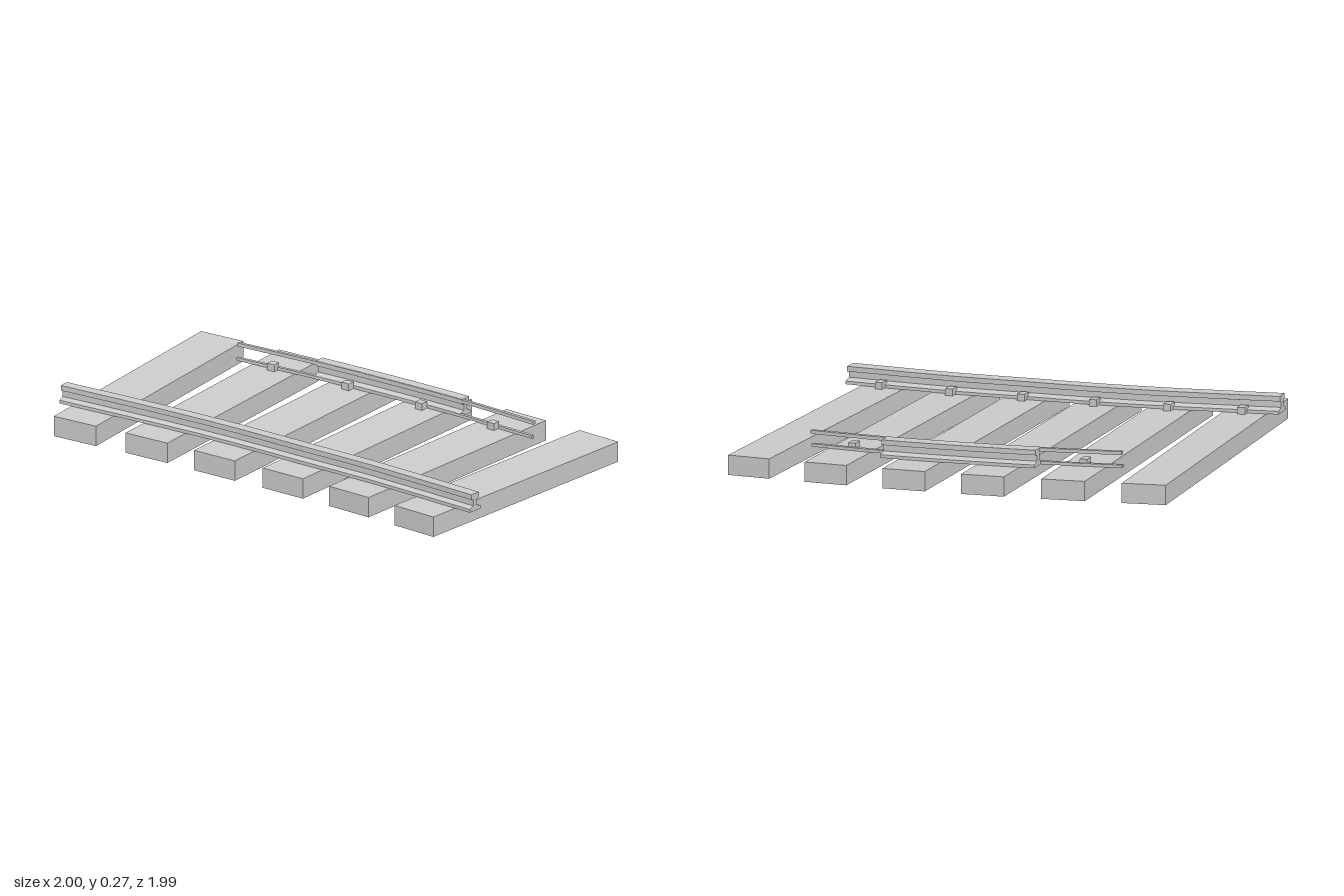
import * as THREE from 'three';

const material = new THREE.MeshStandardMaterial({ color: 0xcccccc, flatShading: true });

// The track lies on an even slope: y = 0 is the upper face of the ties before this shear
const slope = new THREE.Matrix4().set(
  1, 0, 0, 0,
  -0.053, 1, -0.053, 0.141,
  0, 0, 1, 0,
  0, 0, 0, 1);

function add(group, name, geometry) {
  geometry.applyMatrix4(slope);
  geometry.computeVertexNormals();
  const mesh = new THREE.Mesh(geometry, material);
  mesh.name = name;
  group.add(mesh);
}

function curveOf(points) {
  return new THREE.CatmullRomCurve3(points.map(([x, z]) => new THREE.Vector3(x, 0, z)));
}

// Sweeps an upright section (u = sideways, v = up) along a ground curve between t0 and t1
function sweep(section, curve, t0, t1, steps) {
  const shape = new THREE.Shape(section.map(([u, v]) => new THREE.Vector2(u, v)));
  const geometry = new THREE.ExtrudeGeometry(shape, { depth: 1, steps, bevelEnabled: false });
  const pos = geometry.attributes.position;
  for (let i = 0; i < pos.count; i++) {
    const t = t0 + (t1 - t0) * pos.getZ(i);
    const p = curve.getPoint(t), d = curve.getTangent(t);
    const u = pos.getX(i);
    pos.setXYZ(i, p.x + d.z * u, pos.getY(i), p.z - d.x * u);
  }
  return geometry;
}

const rect = (u0, u1, v0, v1) => [[u0, v0], [u1, v0], [u1, v1], [u0, v1]];

// I-shaped rail section: wide foot, thin web, narrower head
const half = [[0.033, 0], [0.033, 0.012], [0.01, 0.02], [0.01, 0.042], [0.023, 0.046], [0.023, 0.065]];
const railSection = [...half, ...half.map(([u, v]) => [-u, v]).reverse()];

export function createModel() {
  const model = new THREE.Group();
  model.name = 'brokenTrack';

  // Wooden ties, each given by the middles of its two ends
  const ties = [
    [-0.187, -0.94, -0.94, -0.08],
    [0.05, -0.73, -0.72, 0.11],
    [0.283, -0.513, -0.516, 0.308],
    [0.508, -0.289, -0.31, 0.508],
    [0.727, -0.056, -0.115, 0.714],
    [0.94, 0.18, 0.075, 0.93],
  ];
  const yaws = ties.map(([x0, z0, x1, z1]) => Math.atan2(z1 - z0, x0 - x1));
  ties.forEach(([x0, z0, x1, z1], i) => {
    const tie = new THREE.BoxGeometry(Math.hypot(x1 - x0, z1 - z0), 0.075, 0.172);
    tie.rotateY(yaws[i]).translate((x0 + x1) / 2, -0.0375, (z0 + z1) / 2);
    add(model, 'tie' + (i + 1), tie);
  });

  // Complete rail
  const longCurve = curveOf([[-0.93, -0.294], [-0.61, -0.016], [-0.395, 0.187],
    [-0.193, 0.396], [0.01, 0.604], [0.3, 0.936]]);
  add(model, 'longRail', sweep(railSection, longCurve, 0, 1, 10));

  // Broken rail: a short full piece, with only slivers of head and foot beyond it
  const brokenCurve = curveOf([[-0.175, -0.708], [0.057, -0.507], [0.288, -0.288],
    [0.505, -0.066], [0.713, 0.175]]);
  add(model, 'brokenRail', sweep(railSection, brokenCurve, 0.26, 0.75, 6));
  add(model, 'headSliver', sweep(rect(-0.026, -0.012, 0.051, 0.064), brokenCurve, 0, 1, 10));
  add(model, 'footSliver', sweep(rect(-0.034, -0.02, 0, 0.011), brokenCurve, 0, 1, 10));

  // Rail clips on the inner side of both rails: [tie index, x, z]
  const clips = [
    [0, -0.802, -0.23], [1, -0.583, -0.043], [2, -0.369, 0.16],
    [3, -0.166, 0.369], [4, 0.037, 0.578], [5, 0.23, 0.797],
    [1, -0.086, -0.578], [2, 0.139, -0.364], [3, 0.358, -0.144], [4, 0.572, 0.08],
  ];
  clips.forEach(([tie, x, z], i) => {
    const clip = new THREE.BoxGeometry(0.034, 0.026, 0.03);
    clip.rotateY(yaws[tie]).translate(x, 0.013, z);
    add(model, 'railClip' + (i + 1), clip);
  });

  return model;
}
